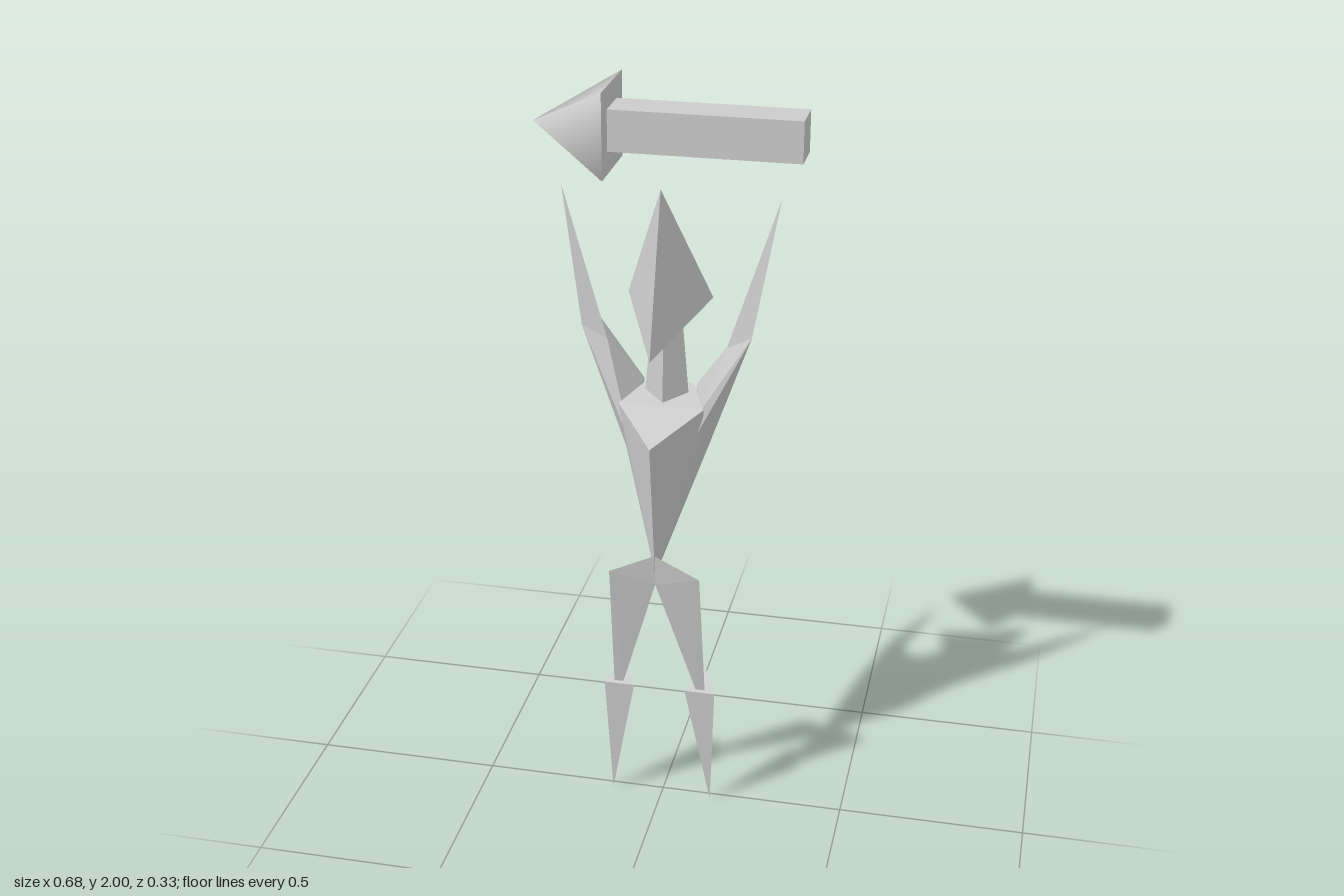
import * as THREE from 'three';
import { ConvexGeometry } from 'three/addons/geometries/ConvexGeometry.js';

export function createModel() {
  const model = new THREE.Group();
  const flat = new THREE.MeshStandardMaterial({ color: 0xcccccc, flatShading: true });
  const smooth = new THREE.MeshStandardMaterial({ color: 0xcccccc });

  const add = (name, geometry, material = flat) => {
    const mesh = new THREE.Mesh(geometry, material);
    mesh.name = name;
    model.add(mesh);
    return mesh;
  };
  // Faceted solid spanned by its corners; side = -1 mirrors it in x
  const solid = (name, corners, side = 1) =>
    add(name, new ConvexGeometry(corners.map(([x, y, z]) => new THREE.Vector3(x * side, y, z))));
  // Corners given for one half, repeated on the other
  const both = (corners) => corners.flatMap(([x, y, z]) => [[x, y, z], [-x, y, z]]);

  // Head: a leaning three-sided pyramid with its ridge to the front
  solid('head', [[0, 1.765, 0.03], [0, 1.365, 0.16], ...both([[0.11, 1.45, -0.09]])]);

  // Neck: tapered, with an edge facing forward
  const neck = add('neck', new THREE.CylinderGeometry(0.037, 0.06, 0.28, 4));
  neck.position.set(0, 1.3, -0.045);

  // Torso: broad shoulders running down to a narrow waist
  solid('torso', [
    [0, 1.13, 0.165], [0, 1.045, 0.152], [0, 0.75, 0.105], [0, 0.74, 0.04], [0, 1.0, -0.07],
    ...both([[0.11, 1.19, 0.03], [0.105, 1.04, -0.03], [0.06, 1.21, -0.09]]),
  ]);

  for (const [label, side] of [['left', 1], ['right', -1]]) {
    // Arms raised in a V, meeting at a three-cornered elbow
    const elbow = [[0.22, 1.37, -0.035], [0.155, 1.335, -0.04], [0.2, 1.39, -0.095]];
    solid(label + 'UpperArm', [
      ...elbow, [0.06, 1.055, 0.055], [0.105, 1.04, -0.03], [0.105, 1.19, 0.02], [0.07, 1.21, -0.095],
    ], side);
    solid(label + 'Forearm', [...elbow, [0.28, 1.725, -0.085]], side);

    // Legs
    solid(label + 'Thigh', [
      [0, 0.8, 0.11], [0.12, 0.745, 0.115], [0.04, 0.68, 0.015], [0, 0.71, 0.1],
      [0.125, 0.37, 0.05], [0.1, 0.37, 0.05], [0.11, 0.375, 0.025],
    ], side);
    solid(label + 'Shin', [
      [0.152, 0.362, 0.052], [0.07, 0.362, 0.052], [0.115, 0.385, -0.028], [0.138, 0, 0.025],
    ], side);
  }

  // Arrow floating above the head
  const shaft = add('arrowShaft', new THREE.BoxGeometry(0.48, 0.105, 0.105));
  shaft.position.set(0.1, 1.892, -0.056);
  const tip = add('arrowHead',
    new THREE.ConeGeometry(0.109 * Math.SQRT2, 0.2, 4, 1, false, Math.PI / 4), smooth);
  tip.rotation.z = Math.PI / 2;
  tip.position.set(-0.24, 1.891, -0.056);

  return model;
}
